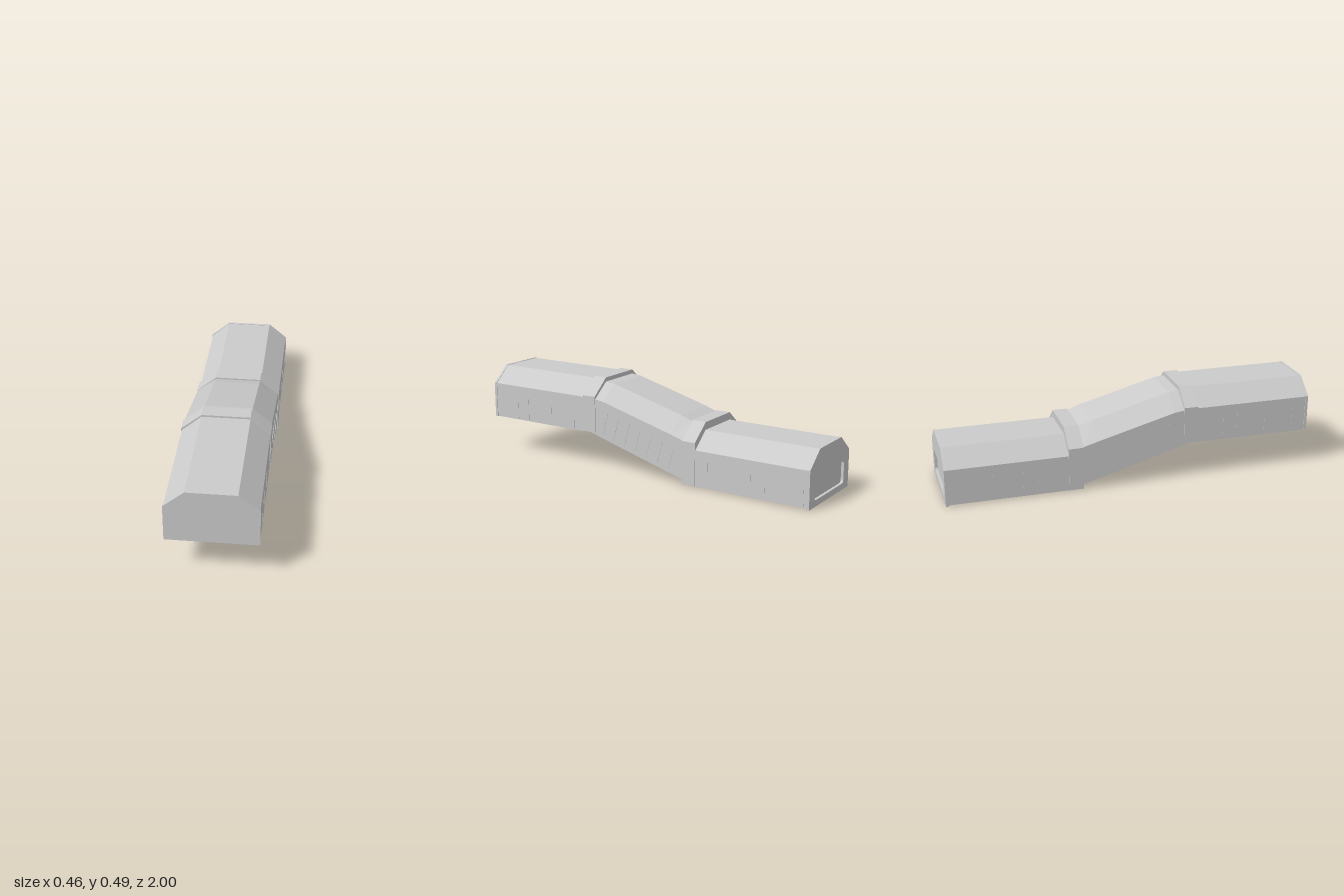
import * as THREE from 'three';

const material = new THREE.MeshStandardMaterial({ color: 0xcccccc, flatShading: true });
const HALF = 0.227; // half width of the body
const ROOF = 0.125; // half width of the flat roof

// Six-sided section: flat floor, upright walls, chamfered shoulders
function section(bottom, shoulder, top, w = HALF) {
  return [[-w, bottom], [w, bottom], [w, shoulder], [ROOF, top], [-ROOF, top], [-w, shoulder]];
}

// Joins sections listed from front to back as [z, bottom, shoulder, top]
function loft(stations) {
  const pos = [];
  const rings = stations.map(([z, b, s, t]) => section(b, s, t).map(([x, y]) => [x, y, z]));
  const tri = (...pts) => pts.forEach((p) => pos.push(...p));
  for (let k = 0; k < rings.length - 1; k++) {
    const a = rings[k], b = rings[k + 1];
    for (let i = 0; i < 6; i++) {
      const j = (i + 1) % 6;
      tri(a[i], b[i], b[j]);
      tri(a[i], b[j], a[j]);
    }
  }
  const first = rings[0], last = rings[rings.length - 1];
  for (let i = 1; i < 5; i++) {
    tri(first[0], first[i], first[i + 1]);
    tri(last[0], last[i + 1], last[i]);
  }
  const geo = new THREE.BufferGeometry();
  geo.setAttribute('position', new THREE.Float32BufferAttribute(pos, 3));
  geo.computeVertexNormals();
  return geo;
}

function shapeOf(points) {
  return new THREE.Shape(points.map(([x, y]) => new THREE.Vector2(x, y)));
}

function extrude(shape, zMin, zMax) {
  const geo = new THREE.ExtrudeGeometry(shape, { depth: zMax - zMin, bevelEnabled: false, curveSegments: 5 });
  return geo.translate(0, 0, zMin);
}

function roundedOpening(x, y0, y1, r) {
  const p = new THREE.Path();
  p.moveTo(-x + r, y0);
  p.lineTo(x - r, y0);
  p.absarc(x - r, y0 + r, r, -Math.PI / 2, 0);
  p.absarc(x - r, y1 - r, r, 0, Math.PI / 2);
  p.absarc(-x + r, y1 - r, r, Math.PI / 2, Math.PI);
  p.absarc(-x + r, y0 + r, r, Math.PI, Math.PI * 1.5);
  return p;
}

// Collar that wraps the walls and roof, with thick legs left open below
function collarShape(bottom, shoulder, top) {
  return shapeOf([
    [0.17, bottom], [0.231, bottom], [0.231, shoulder], [ROOF, top],
    [-ROOF, top], [-0.231, shoulder], [-0.231, bottom], [-0.17, bottom],
    [-0.17, shoulder - 0.03], [-0.1, top - 0.06], [0.1, top - 0.06], [0.17, shoulder - 0.03],
  ]);
}

export function createModel() {
  const model = new THREE.Group();
  model.name = 'steppedTunnel';
  const add = (name, geo, parent = model) => {
    const mesh = new THREE.Mesh(geo, material);
    mesh.name = name;
    parent.add(mesh);
    return mesh;
  };

  // Level bodies and the sloping link between them
  add('upperBody', loft([[0.99, 0.2, 0.39, 0.478], [0.33, 0.2, 0.39, 0.478]]));
  add('lowerBody', loft([[-0.33, 0.01, 0.2, 0.287], [-0.985, 0.01, 0.2, 0.287]]));
  add('slopingBody', loft([
    [0.36, 0.2, 0.386, 0.466],
    [0.325, 0.2, 0.386, 0.466],
    [0.28, 0.187, 0.385, 0.465],
    [0.23, 0.172, 0.378, 0.46],
    [-0.2, 0.05, 0.262, 0.345],
    [-0.27, 0.03, 0.242, 0.32],
    [-0.34, 0.01, 0.2, 0.285],
  ]));

  // Collars over the joints
  add('upperCollar', extrude(collarShape(0.2, 0.4, 0.488), 0.285, 0.362));
  add('lowerCollar', extrude(collarShape(0.006, 0.24, 0.328), -0.35, -0.27));

  // End plates, the rear one with a recessed panel
  add('frontEndPlate', extrude(shapeOf(section(0.195, 0.392, 0.48, 0.23)), 0.985, 1));
  const rear = shapeOf(section(0, 0.202, 0.289, 0.23));
  rear.holes.push(roundedOpening(0.172, 0.033, 0.157, 0.018));
  add('rearEndPlate', extrude(rear, -1, -0.985));

  // Narrow edge strips under the level bodies
  for (const side of [-1, 1]) {
    add('upperEdgeStrip', new THREE.BoxGeometry(0.025, 0.006, 0.63).translate(side * 0.214, 0.199, 0.675));
    add('lowerEdgeStrip', new THREE.BoxGeometry(0.025, 0.006, 0.64).translate(side * 0.214, 0.008, -0.665));
  }

  // Upright seams along the walls of the level bodies
  const seams = new THREE.Group();
  seams.name = 'wallSeams';
  model.add(seams);
  const seamZ = {
    1: [0.83, 0.755, 0.59, 0.43, -0.42, -0.67, -0.75, -0.965],
    [-1]: [0.91, 0.75, 0.59, 0.51, -0.51, -0.59, -0.75, -0.91],
  };
  for (const side of [-1, 1]) {
    for (const z of seamZ[side]) {
      const y = (z > 0 ? 0.2 : 0.01) + 0.07;
      add('wallSeam', new THREE.BoxGeometry(0.003, 0.13, 0.006).translate(side * HALF, y, z), seams);
    }
    // Tilted seams square to the slope
    for (let i = 0; i < 7; i++) {
      const z = 0.22 - i * 0.07;
      const seam = add('slopeSeam', new THREE.BoxGeometry(0.003, 0.13, 0.005), seams);
      seam.position.set(side * HALF, 0.107 + 0.283 * z + 0.085, z);
      seam.rotation.x = -0.276;
    }
  }
  return model;
}
